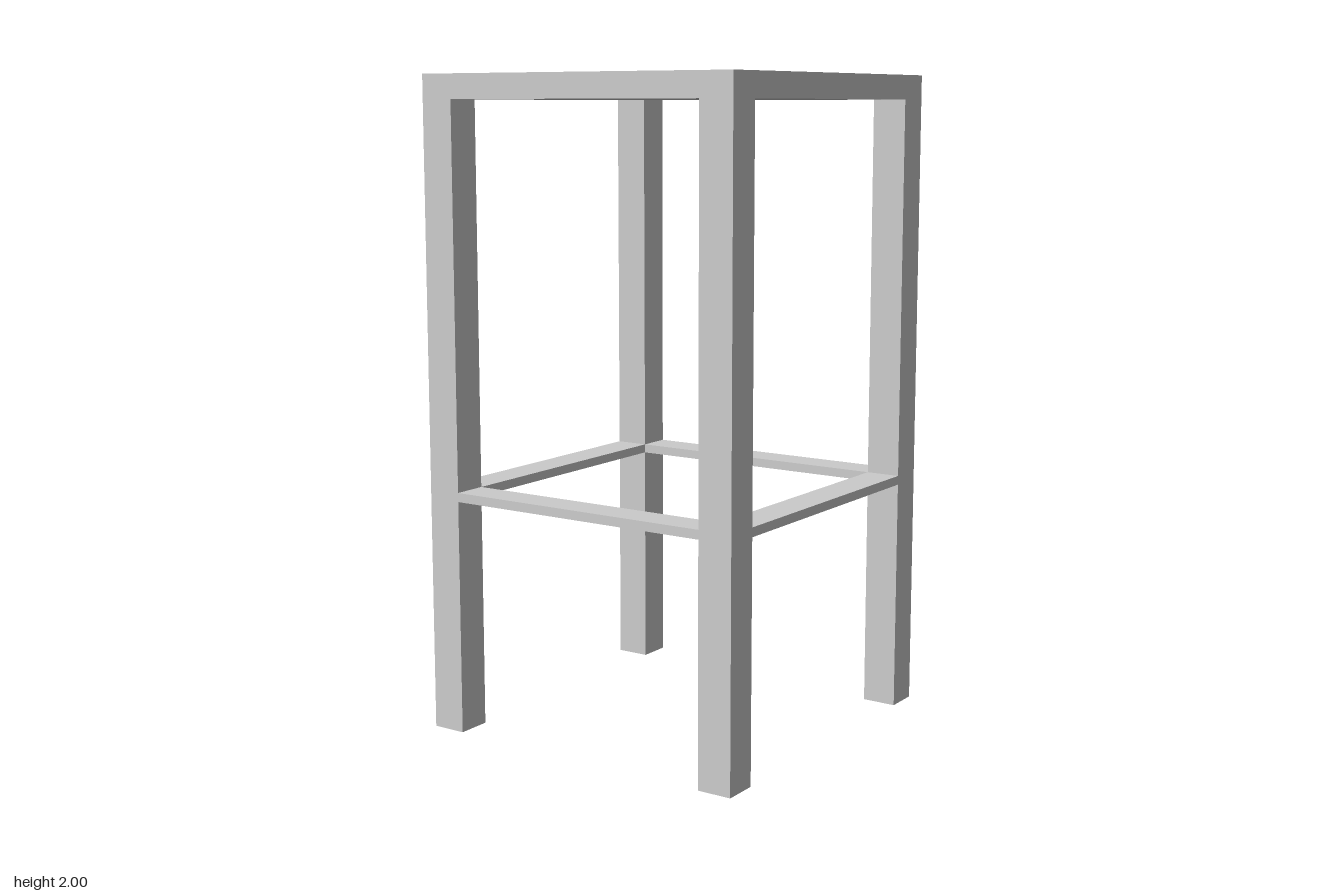
import * as THREE from 'three';

const HALF = 0.543;        // half the seat width
const LEG = 0.108;         // leg thickness
const SEAT_BOTTOM = 1.926;
const HEIGHT = 2;
const RAIL_BOTTOM = 0.725;
const RAIL_TOP = 0.753;

export function createModel() {
  const stool = new THREE.Group();
  stool.name = 'stool';
  const material = new THREE.MeshStandardMaterial({ color: 0xcccccc, flatShading: true });

  // Box standing between two heights
  const addBox = (name, width, depth, bottom, top, x, z) => {
    const mesh = new THREE.Mesh(new THREE.BoxGeometry(width, top - bottom, depth), material);
    mesh.name = name;
    mesh.position.set(x, (bottom + top) / 2, z);
    stool.add(mesh);
  };

  // Square seat slab
  addBox('seat', 2 * HALF, 2 * HALF, SEAT_BOTTOM, HEIGHT, 0, 0);

  const offset = HALF - LEG / 2;
  const span = 2 * (HALF - LEG);

  // Legs flush with the seat corners
  for (const [side, x] of [['Left', offset], ['Right', -offset]]) {
    for (const [end, z] of [['front', offset], ['back', -offset]]) {
      addBox(`${end}${side}Leg`, LEG, LEG, 0, SEAT_BOTTOM, x, z);
    }
  }

  // Flat footrest rails, as deep as the legs
  addBox('frontRail', span, LEG, RAIL_BOTTOM, RAIL_TOP, 0, offset);
  addBox('backRail', span, LEG, RAIL_BOTTOM, RAIL_TOP, 0, -offset);
  addBox('leftRail', LEG, span, RAIL_BOTTOM, RAIL_TOP, offset, 0);
  addBox('rightRail', LEG, span, RAIL_BOTTOM, RAIL_TOP, -offset, 0);

  return stool;
}
